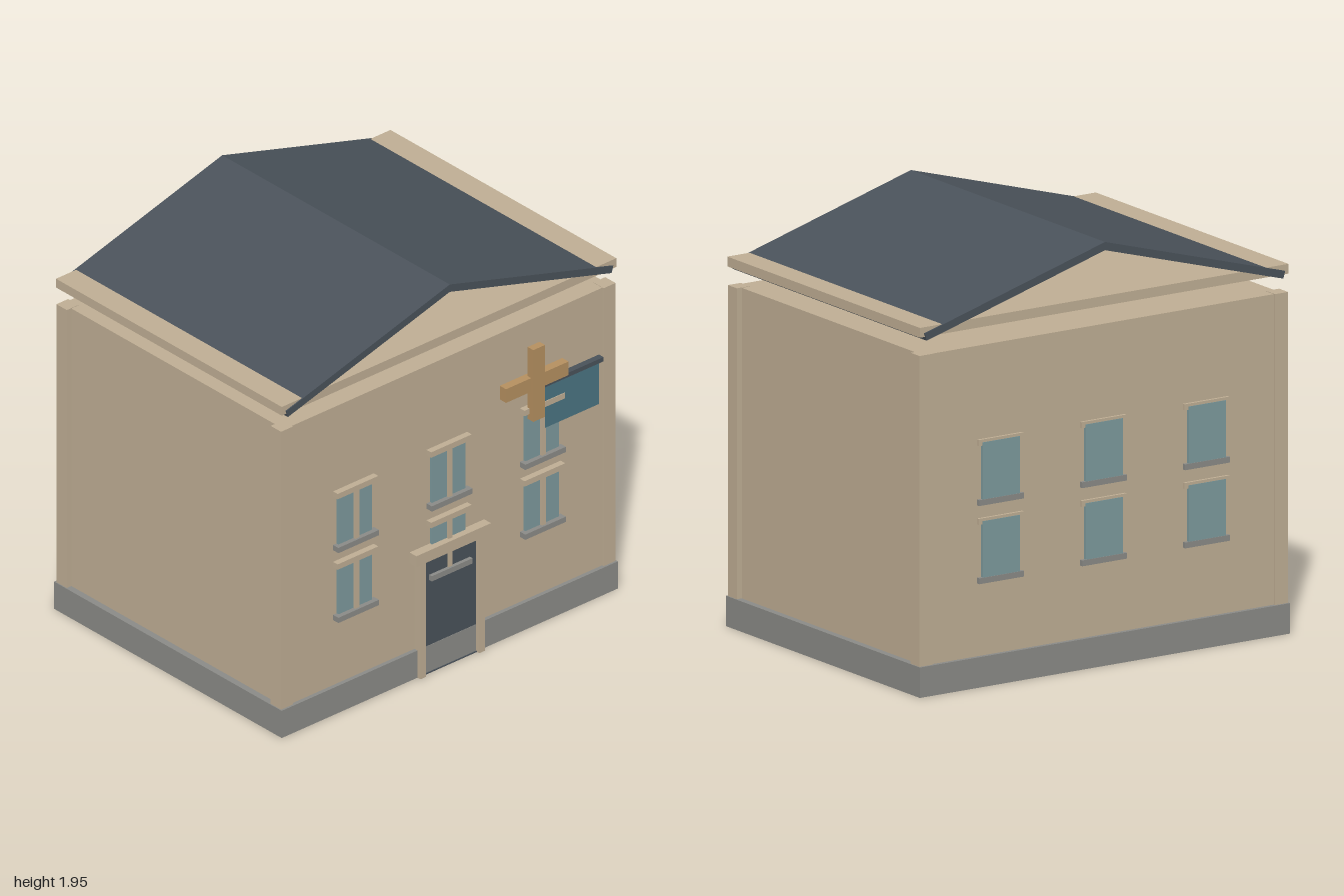
import * as THREE from 'three';

const mat = (name, color) => {
  const m = new THREE.MeshStandardMaterial({ color });
  m.name = name;
  return m;
};

export function createModel() {
  const stone = mat('tan stone', 0xbfae94);
  const grey = mat('grey stone', 0x8b8b87);
  const slate = mat('dark slate', 0x4a525a);
  const glass = mat('window glass', 0x7d9a9d);
  const teal = mat('teal sign', 0x4b7482);
  const wood = mat('orange wood', 0xb59060);

  const model = new THREE.Group();
  model.name = 'building';

  // Box given by its limits on each axis
  const box = (name, material, x0, x1, y0, y1, z0, z1, parent = model) => {
    const mesh = new THREE.Mesh(new THREE.BoxGeometry(x1 - x0, y1 - y0, z1 - z0), material);
    mesh.position.set((x0 + x1) / 2, (y0 + y1) / 2, (z0 + z1) / 2);
    mesh.name = name;
    parent.add(mesh);
    return mesh;
  };

  // Plinth, walls and corner pilasters
  box('plinth', grey, -1, 1, 0, 0.14, -0.783, 0.747);
  box('walls', stone, -0.968, 0.968, 0.14, 1.57, -0.763, 0.727);
  for (const x of [-0.995, 0.925]) {
    for (const z of [-0.773, 0.667]) {
      box('cornerPilaster', stone, x, x + 0.07, 0.14, 1.572, z, z + 0.07);
    }
  }

  // Cornice slab floating above the walls
  box('cornice', stone, -0.995, 0.995, 1.657, 1.702, -0.776, 0.742);

  // Gable roof: one bent strip extruded along z
  const roofShape = new THREE.Shape([
    [-0.973, 1.674], [-0.963, 1.64], [0, 1.914],
    [0.963, 1.64], [0.973, 1.674], [0, 1.952],
  ].map(([x, y]) => new THREE.Vector2(x, y)));
  const roof = new THREE.Mesh(
    new THREE.ExtrudeGeometry(roofShape, { depth: 1.53, bevelEnabled: false }), slate);
  roof.position.z = -0.783;
  roof.name = 'roof';
  model.add(roof);

  // Windows: three columns and two rows, front and back
  const rows = [
    { sill: 0.835, lintel: 1.11 },
    { sill: 0.475, lintel: 0.747 },
  ];
  for (const cx of [-0.556, 0, 0.556]) {
    for (const { sill, lintel } of rows) {
      const front = new THREE.Group();
      front.name = 'frontWindow';
      model.add(front);
      box('glass', glass, cx - 0.1, cx + 0.1, sill + 0.02, lintel + 0.01, 0.72, 0.74, front);
      box('mullion', stone, cx - 0.012, cx + 0.012, sill + 0.026, lintel, 0.72, 0.753, front);
      box('lintel', stone, cx - 0.121, cx + 0.121, lintel, lintel + 0.028, 0.72, 0.758, front);
      box('sill', grey, cx - 0.121, cx + 0.121, sill, sill + 0.027, 0.72, 0.763, front);

      const back = new THREE.Group();
      back.name = 'backWindow';
      model.add(back);
      box('glass', glass, cx - 0.1, cx + 0.1, sill + 0.015, lintel + 0.015, -0.778, -0.755, back);
      box('lintel', stone, cx - 0.121, cx + 0.121, lintel, lintel + 0.028, -0.776, -0.755, back);
      box('sill', grey, cx - 0.121, cx + 0.121, sill, sill + 0.027, -0.78, -0.755, back);
    }
  }

  // Doorway
  box('door', slate, -0.16, 0.157, 0.14, 0.6, 0.72, 0.745);
  box('threshold', slate, -0.16, 0.157, 0, 0.005, 0.72, 0.752);
  for (const x of [-0.192, 0.157]) box('doorPost', stone, x, x + 0.034, 0, 0.595, 0.72, 0.767);
  box('doorLintel', stone, -0.222, 0.222, 0.592, 0.648, 0.72, 0.773);

  // Cross of two wooden bars
  box('crossUpright', wood, 0.465, 0.535, 1.08, 1.45, 0.745, 0.783);
  box('crossArm', wood, 0.315, 0.687, 1.23, 1.3, 0.725, 0.769);

  // Hanging sign and its rail
  box('signPanel', teal, 0.56, 0.88, 1.0, 1.212, 0.725, 0.754);
  box('signRail', slate, 0.535, 0.905, 1.212, 1.234, 0.725, 0.758);

  return model;
}
